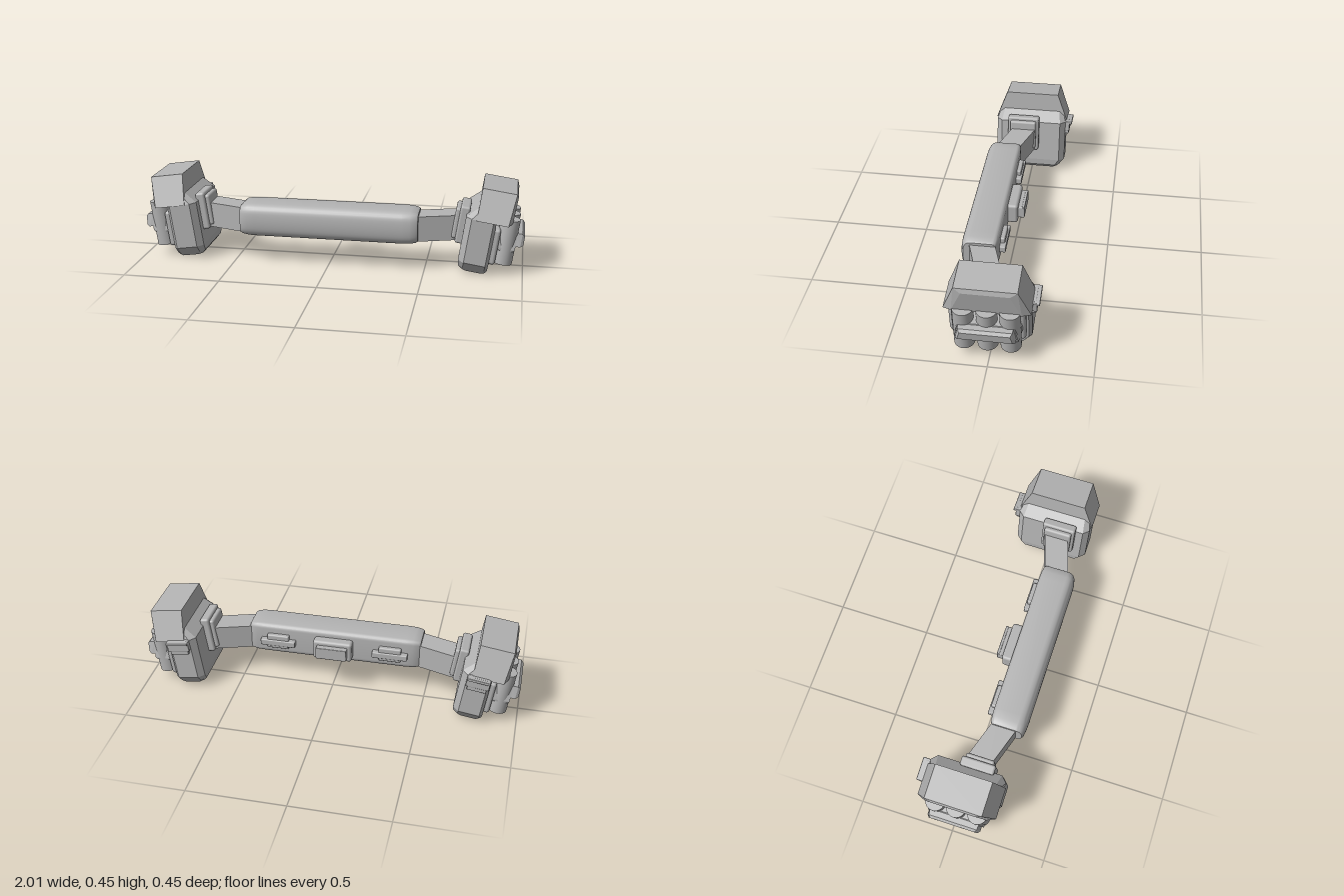
import * as THREE from 'three';
import { toCreasedNormals } from 'three/addons/utils/BufferGeometryUtils.js';
import { RoundedBoxGeometry } from 'three/addons/geometries/RoundedBoxGeometry.js';
import { ConvexGeometry } from 'three/addons/geometries/ConvexGeometry.js';

const grey = new THREE.MeshStandardMaterial({ color: 0xb4b4b4 });
grey.name = 'grey';

function add(parent, name, geometry, x = 0, y = 0, z = 0) {
  const mesh = new THREE.Mesh(geometry, grey);
  mesh.name = name;
  mesh.position.set(x, y, z);
  parent.add(mesh);
  return mesh;
}

const rbox = (w, h, d, r = 0.008) => new RoundedBoxGeometry(w, h, d, 2, r);

// Corners of one horizontal section: u range, height, half depth, corner cut
function section(s, u0, u1, v, hz, cutIn, cutOut) {
  const pts = [];
  for (const k of [-1, 1]) {
    pts.push(
      new THREE.Vector3(s * (u0 + cutIn), v, k * hz),
      new THREE.Vector3(s * u0, v, k * (hz - cutIn)),
      new THREE.Vector3(s * (u1 - cutOut), v, k * hz),
      new THREE.Vector3(s * u1, v, k * (hz - cutOut))
    );
  }
  return pts;
}

// Thick belt pad with a softly rounded front and tapered ends
function beltPad(root) {
  const p = new THREE.Shape();
  p.moveTo(-0.045, 0.18);
  p.lineTo(-0.045, 0.297);
  p.quadraticCurveTo(-0.045, 0.31, -0.06, 0.31);
  p.lineTo(-0.17, 0.31);
  p.quadraticCurveTo(-0.197, 0.307, -0.202, 0.275);
  p.quadraticCurveTo(-0.208, 0.235, -0.202, 0.2);
  p.quadraticCurveTo(-0.197, 0.168, -0.17, 0.165);
  p.lineTo(-0.06, 0.165);
  p.quadraticCurveTo(-0.045, 0.165, -0.045, 0.18);
  const geo = new THREE.ExtrudeGeometry(p, {
    depth: 0.77, bevelThickness: 0.08, bevelSize: 0.015, bevelSegments: 3, curveSegments: 6
  });
  geo.translate(0, 0, -0.385);
  geo.rotateY(Math.PI / 2);
  add(root, 'beltPad', toCreasedNormals(geo, 0.6));

  // Rear fittings
  add(root, 'rearClaspBase', rbox(0.21, 0.11, 0.06, 0.015), 0, 0.235, 0.008);
  add(root, 'rearClaspBlock', rbox(0.165, 0.065, 0.045, 0.006), 0, 0.235, -0.033);
  add(root, 'rearClaspLip', rbox(0.165, 0.015, 0.015, 0.004), 0, 0.262, -0.048);
  for (const s of [-1, 1]) {
    add(root, 'rearLoopPlate', rbox(0.12, 0.08, 0.03), s * 0.305, 0.235, 0.022);
    add(root, 'rearLoopBar', rbox(0.19, 0.035, 0.035, 0.006), s * 0.305, 0.23, 0.017);
  }
}

function pouch(root, s) {
  const g = new THREE.Group();
  g.name = s > 0 ? 'leftPouch' : 'rightPouch';
  g.position.set(s * 0.8, 0.23, 0.01);
  g.rotation.z = -0.145 * s;
  root.add(g);

  // Chamfered body
  add(g, 'pouchBody', new ConvexGeometry([
    ...section(s, -0.08, 0.04, -0.22, 0.155, 0.02, 0.015),
    ...section(s, -0.1, 0.05, -0.2, 0.172, 0.025, 0.015),
    ...section(s, -0.105, 0.05, -0.165, 0.2, 0.03, 0.015),
    ...section(s, -0.105, 0.05, 0.07, 0.2, 0.03, 0.015),
    ...section(s, -0.05, 0.05, 0.125, 0.18, 0.02, 0.015)
  ]));

  // Trapezoid lid with a raised outer face
  const lid = [];
  for (const k of [-1, 1]) {
    for (const [u, v, z] of [
      [-0.05, 0.068, 0.207], [-0.05, 0.225, 0.148], [0.124, 0.225, 0.148],
      [0.11, 0.068, 0.207], [0.134, 0.203, 0.113], [0.13, 0.078, 0.165]
    ]) lid.push(new THREE.Vector3(s * u, v, k * z));
  }
  add(g, 'pouchLid', new ConvexGeometry(lid));

  // Outer panel and row of three tubes
  add(g, 'outerPanel', rbox(0.04, 0.19, 0.355, 0.015), s * 0.06, -0.06, 0.003);
  for (const z of [0.113, 0.001, -0.109]) {
    add(g, 'tube', new THREE.CylinderGeometry(0.05, 0.05, 0.238, 32), s * 0.117, -0.031, z);
  }

  // Flared band around the tubes, and its thick strap
  const band = [];
  for (const [v, z, out] of [[-0.075, 0.163, 0.158], [-0.065, 0.163, 0.166], [0.01, 0.148, 0.166], [0.022, 0.14, 0.155]]) {
    for (const k of [-1, 1]) {
      band.push(new THREE.Vector3(s * 0.07, v, k * z), new THREE.Vector3(s * out, v, k * (z - 0.012)));
    }
  }
  add(g, 'tubeBand', new ConvexGeometry(band));
  const strap = [];
  for (const k of [-1, 1]) {
    for (const [u, v, z] of [
      [0.16, -0.046, 0.142], [0.16, 0.021, 0.13], [0.19, -0.046, 0.142], [0.19, 0.021, 0.127],
      [0.204, -0.036, 0.13], [0.204, 0.008, 0.118]
    ]) strap.push(new THREE.Vector3(s * u, v, k * z));
  }
  add(g, 'tubeStrap', new ConvexGeometry(strap));

  // Inner mount that receives the belt strap
  add(g, 'mountBase', rbox(0.05, 0.2, 0.18, 0.012), s * -0.115, 0.007, 0.04);
  add(g, 'mountPlate', rbox(0.04, 0.165, 0.15, 0.012), s * -0.142, 0.007, 0.04);

  // Stepped loop on the back face
  add(g, 'backLoopPlate', rbox(0.1, 0.08, 0.03, 0.004), s * -0.015, 0.035, -0.205);
  add(g, 'backLoopBlock', rbox(0.12, 0.05, 0.035, 0.004), s * -0.015, 0.042, -0.207);
  add(g, 'backLoopLip', rbox(0.12, 0.016, 0.045, 0.004), s * -0.015, 0.066, -0.215);
}

export function createModel() {
  const root = new THREE.Group();
  root.name = 'utilityBelt';
  beltPad(root);
  for (const s of [-1, 1]) {
    // Angled strap between pad and pouch
    const link = add(root, 'beltStrap', new THREE.BoxGeometry(0.27, 0.132, 0.125), s * 0.545, 0.23, 0.08);
    link.rotation.y = 0.31 * s;
    pouch(root, s);
  }
  return root;
}
